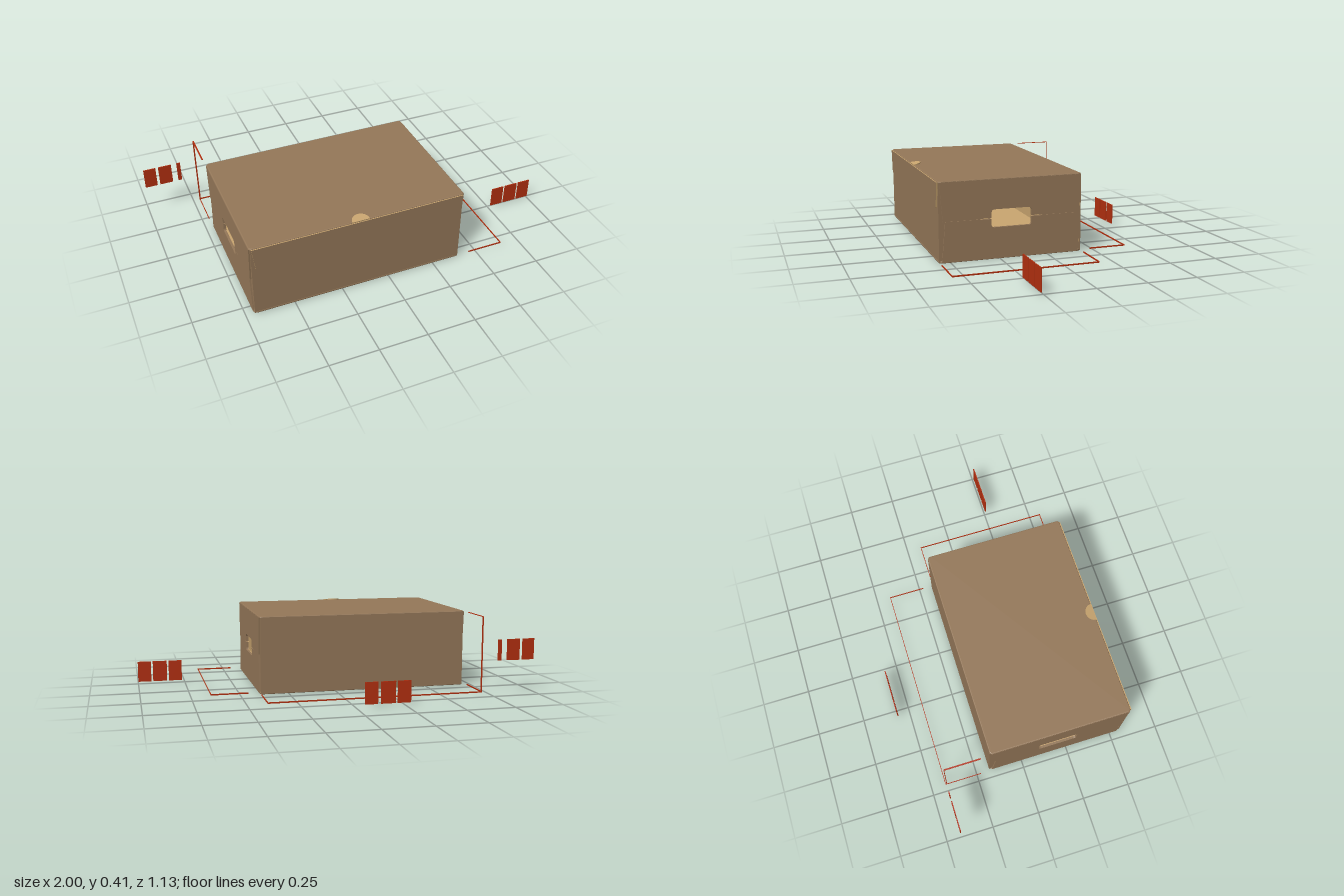
import * as THREE from 'three';

const CX = -0.155, CZ = 0.19;      // carton centre on the ground
const HX = 0.555, HZ = 0.37, H = 0.4; // carton half sizes and height

const card = new THREE.MeshStandardMaterial({ name: 'cardboard', color: 0x957859 });
const inner = new THREE.MeshStandardMaterial({ name: 'inner cardboard', color: 0xcaa670 });
const red = new THREE.MeshStandardMaterial({ name: 'dimension red', color: 0xb53010 });

function add(parent, name, geo, mat, x = 0, y = 0, z = 0) {
  const m = new THREE.Mesh(geo, mat);
  m.name = name;
  m.position.set(x, y, z);
  parent.add(m);
  return m;
}

const box = (w, h, d) => new THREE.BoxGeometry(w, h, d);

// Flat panel from corner points
function panel(points, depth, holes = []) {
  const shape = new THREE.Shape(points.map(p => new THREE.Vector2(...p)));
  shape.holes = holes.map(h => new THREE.Path(h.map(p => new THREE.Vector2(...p))));
  return new THREE.ExtrudeGeometry(shape, { depth, bevelEnabled: false });
}

function roundedRect(w, d, r) {
  const s = new THREE.Shape();
  s.moveTo(-w + r, -d);
  s.lineTo(w - r, -d).quadraticCurveTo(w, -d, w, -d + r);
  s.lineTo(w, d - r).quadraticCurveTo(w, d, w - r, d);
  s.lineTo(-w + r, d).quadraticCurveTo(-w, d, -w, d - r);
  s.lineTo(-w, -d + r).quadraticCurveTo(-w, -d, -w + r, -d);
  return s;
}

// Horizontal sheet with softened edges, lying from y = 0 up to 0.012
function sheet(w, d) {
  const b = 0.004;
  const g = new THREE.ExtrudeGeometry(roundedRect(w - b, d - b, 0.014),
    { depth: 0.012 - 2 * b, bevelSize: b, bevelThickness: b, bevelSegments: 2, curveSegments: 4 });
  return g.translate(0, 0, b).rotateX(-Math.PI / 2);
}

// Grip opening with a narrow slit at each side; upper and lower halves
const S = 0.2055;
const mirrorX = pts => pts.map(([x, y]) => [-x, y]).reverse();
const upRight = [[0.103, 0.238], [0.1, 0.246], [0.091, 0.25]];
const lowRight = [[0.103, 0.172], [0.1, 0.163], [0.091, 0.16]];
const upCut = [[0.16, S], [0.16, S + 0.002], [0.103, S + 0.002], ...upRight];
const lowCut = [[0.16, S - 0.001], [0.16, S - 0.003], [0.103, S - 0.003], ...lowRight];
const upEdge = [...upCut, ...mirrorX(upCut)];
const lowEdge = [...lowCut, ...mirrorX(lowCut)];
const gripHole = [...upEdge, ...[...lowEdge].reverse()];

function endWall() {
  const g = new THREE.Group();
  const w = HZ - 0.004;
  const rect = [[-w, 0.006], [w, 0.006], [w, H - 0.006], [-w, H - 0.006]];
  add(g, 'endLiner', panel(rect, 0.003, [gripHole]), inner, 0, 0, HX - 0.0155);
  add(g, 'endBacking', panel(rect, 0.006, [gripHole]), card, 0, 0, HX - 0.0125);
  // Folded flaps on the outside, tapering towards the seam
  const upper = [[0.362, H - 0.002], [0.347, S], ...upEdge, [-0.347, S], [-0.362, H - 0.002]];
  const lower = [[0.353, 0.003], [0.335, S - 0.001], ...lowEdge, [-0.335, S - 0.001], [-0.353, 0.003]];
  add(g, 'upperEndFlap', panel(upper, 0.0075), card, 0, 0, HX - 0.0065);
  add(g, 'lowerEndFlap', panel(lower, 0.0065), card, 0, 0, HX - 0.0065);
  return g;
}

function createCarton() {
  const g = new THREE.Group();
  g.name = 'carton';
  g.position.set(CX, 0, CZ);

  // Floor and lid, lined on the inside
  add(g, 'floor', sheet(HX - 0.002, HZ - 0.002), card);
  add(g, 'lid', sheet(HX, HZ - 0.001), card, 0, H - 0.009);
  for (const y of [0.013, H - 0.0105])
    add(g, 'liner', box(2 * HX - 0.03, 0.003, 2 * HZ - 0.02), inner, 0, y);

  // Long walls: inner faces use the inner colour
  const wall = box(2 * HX - 0.012, H - 0.006, 0.008);
  const y = H / 2;
  add(g, 'frontWall', wall, [card, card, card, card, card, inner], 0, y, HZ - 0.007);
  add(g, 'backWall', wall, [card, card, card, card, inner, card], 0, y, -HZ + 0.005);

  // End walls with grips
  for (const s of [1, -1]) {
    const e = endWall();
    e.name = s > 0 ? 'leftEnd' : 'rightEnd';
    e.rotation.y = s * Math.PI / 2;
    g.add(e);
  }

  // Front flap hanging from the lid, with bare cut edges
  const half = [[0.518, 0.27], [0.528, 0.275], [0.546, H - 0.002]];
  add(g, 'lidFlap', panel([...half, ...mirrorX(half)], 0.0075), [card, inner], 0, 0, HZ - 0.0035);

  // Half-round thumb tab, tilted up from the front edge
  const arc = new THREE.Shape();
  arc.absarc(0, 0, 0.045, 0, Math.PI);
  const tab = new THREE.ExtrudeGeometry(arc, { depth: 0.005, bevelEnabled: false, curveSegments: 16 });
  tab.rotateX(-Math.PI / 2 + 0.16);
  add(g, 'thumbTab', tab, inner, 0, H, HZ);
  return g;
}

// Thin ribbon between two points along one axis
function ribbon(parent, name, a, b, thick = [0.003, 0.007, 0.003]) {
  const size = a.map((v, i) => Math.abs(b[i] - v) + thick[i]);
  add(parent, name, box(...size), red, ...a.map((v, i) => (v + b[i]) / 2));
}

// Blank upright marker plates, each given by its two x limits
function markers(parent, name, spans, y, z) {
  for (const [x0, x1] of spans)
    add(parent, name, box(x1 - x0, 0.11, 0.005), red, (x0 + x1) / 2, y, z);
}

function createDimensions() {
  const g = new THREE.Group();
  g.name = 'dimensionLines';
  const y = 0.01, xl = -0.715, xr = 0.4, zb = -0.423;

  // Width, behind the carton
  ribbon(g, 'widthLine', [xl, y, zb], [xr, y, zb]);
  for (const x of [xl, xr]) ribbon(g, 'widthExtension', [x, y, zb], [x, y, -0.23]);
  markers(g, 'widthMarker', [[-0.283, -0.215], [-0.205, -0.13], [-0.115, -0.05]], 0.065, -0.565);

  // Depth, beside the carton
  ribbon(g, 'depthLine', [0.65, y, -0.17], [0.65, y, 0.56]);
  for (const z of [-0.17, 0.56]) ribbon(g, 'depthExtension', [0.46, y, z], [0.65, y, z]);
  markers(g, 'depthMarker', [[0.765, 0.835], [0.845, 0.92], [0.93, 1]], 0.065, 0.26);

  // Height, at the back corner
  ribbon(g, 'heightLine', [xl, y, -0.417], [xl, 0.4, -0.417], [0.007, 0.003, 0.003]);
  ribbon(g, 'heightExtension', [xl, 0.4, -0.417], [xl, 0.4, -0.23], [0.007, 0.003, 0.003]);
  markers(g, 'heightMarker', [[-1, -0.935], [-0.92, -0.85], [-0.82, -0.8]], 0.225, -0.422);
  return g;
}

export function createModel() {
  const model = new THREE.Group();
  model.name = 'cardboardBox';
  model.add(createCarton(), createDimensions());
  return model;
}
